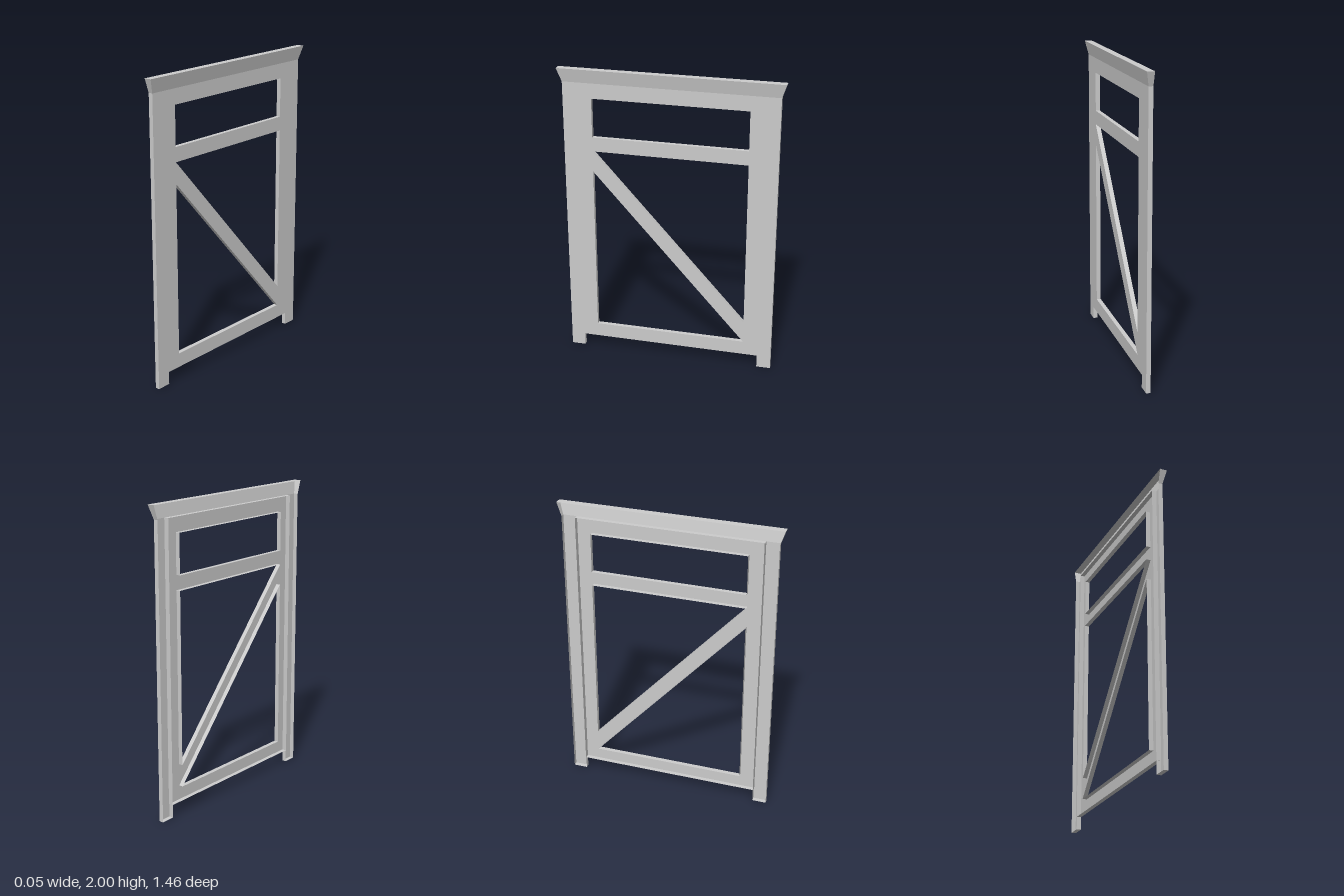
import * as THREE from 'three';

const FRONT = 0.005, BACK = -0.024, LIP = 0.024;
const material = new THREE.MeshStandardMaterial({ color: 0xcccccc, flatShading: true, side: THREE.DoubleSide });

// Sections are drawn in (u, y, depth); the turn sends depth to +x and u to -z.
function addMesh(group, name, geometry) {
  const mesh = new THREE.Mesh(geometry.rotateY(Math.PI / 2), material);
  mesh.name = name;
  group.add(mesh);
}

function quads(list) {
  const positions = [];
  for (const [a, b, c, d] of list) positions.push(...a, ...b, ...c, ...a, ...c, ...d);
  const geometry = new THREE.BufferGeometry();
  geometry.setAttribute('position', new THREE.Float32BufferAttribute(positions, 3));
  geometry.computeVertexNormals();
  return geometry;
}

// Open-backed panel: a face with walls folded back along every edge.
// The outline runs counter-clockwise, the holes clockwise.
function addPanel(group, name, outline, holes = []) {
  const toPoints = (loop) => loop.map(([u, y]) => new THREE.Vector2(u, y));
  const shape = new THREE.Shape(toPoints(outline));
  shape.holes = holes.map((h) => new THREE.Path(toPoints(h)));
  addMesh(group, name + 'Face', new THREE.ShapeGeometry(shape).translate(0, 0, FRONT));
  const walls = [];
  for (const loop of [outline, ...holes]) {
    loop.forEach((a, i) => {
      const b = loop[(i + 1) % loop.length];
      walls.push([[...a, BACK], [...b, BACK], [...b, FRONT], [...a, FRONT]]);
    });
  }
  addMesh(group, name + 'Edges', quads(walls));
}

const rect = (u0, u1, y0, y1) => [[u0, y0], [u1, y0], [u1, y1], [u0, y1]];

export function createModel() {
  const model = new THREE.Group();
  model.name = 'bracedDoorFrame';

  // Door leaf: transom opening and two triangles split by the brace
  const w = 0.51;
  addPanel(model, 'doorLeaf', rect(-0.61, 0.61, 0.085, 1.91), [
    rect(-w, w, 1.55, 1.81).reverse(),
    [[-w, 1.455], [w, 1.455], [w, 0.325]],
    [[-w, 0.18], [-w, 1.315], [w, 0.18]],
  ]);

  // Side posts, open at the top into the cornice
  for (const [name, u0, u1] of [['frontPost', -0.7, -0.607], ['backPost', 0.607, 0.7]]) {
    const post = new THREE.Group();
    post.name = name;
    addMesh(post, name + 'Face', quads([rect(u0, u1, 0, 1.91).map((p) => [...p, FRONT])]));
    const path = [[u0, 1.91], [u0, 0], [u1, 0], [u1, 1.91]];
    addMesh(post, name + 'Edges', quads([0, 1, 2].map((i) => {
      const a = path[i], b = path[i + 1];
      return [[...a, BACK], [...b, BACK], [...b, FRONT], [...a, FRONT]];
    })));
    model.add(post);
  }

  // Cornice flaring forward and to both ends
  const lo = 0.7, hi = 0.73, y0 = 1.91, y1 = 2;
  addMesh(model, 'cornice', quads([
    [[-lo, y0, FRONT], [lo, y0, FRONT], [hi, y1, LIP], [-hi, y1, LIP]],
    [[lo, y0, FRONT], [lo, y0, BACK], [hi, y1, BACK], [hi, y1, LIP]],
    [[-lo, y0, BACK], [-lo, y0, FRONT], [-hi, y1, LIP], [-hi, y1, BACK]],
    [[-hi, y1, LIP], [hi, y1, LIP], [hi, y1, BACK], [-hi, y1, BACK]],
  ]));

  return model;
}
